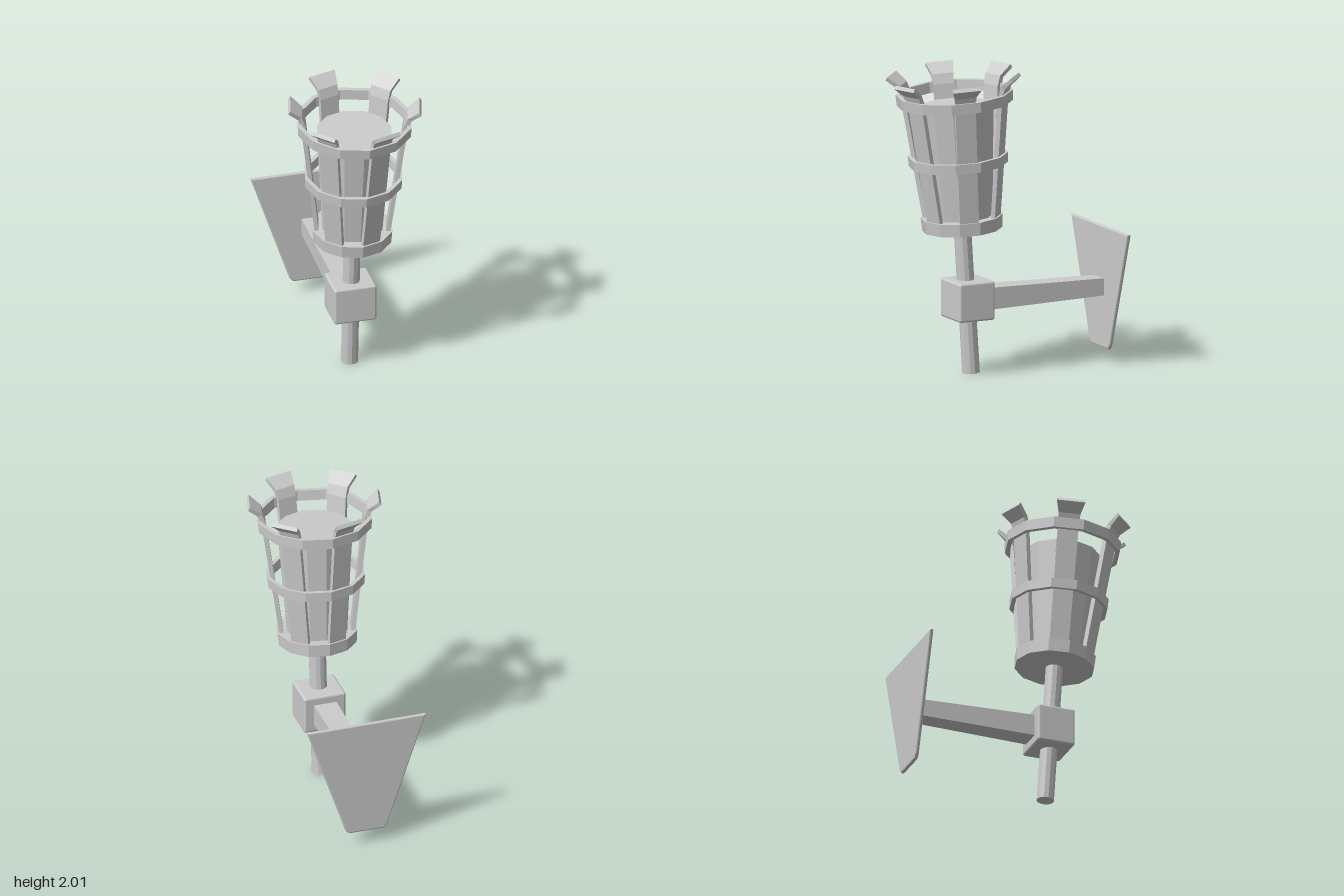
import * as THREE from 'three';
import { RoundedBoxGeometry } from 'three/addons/geometries/RoundedBoxGeometry.js';

const material = new THREE.MeshStandardMaterial({ color: 0xcccccc, flatShading: true });
const smooth = new THREE.MeshStandardMaterial({ color: 0xcccccc });

function add(parent, name, geometry, mat = material) {
  const mesh = new THREE.Mesh(geometry, mat);
  mesh.name = name;
  parent.add(mesh);
  return mesh;
}

// Twelve-sided hoop with a rectangular, slightly flared section
function hoopGeometry(y0, y1, r0, r1, t) {
  const profile = [[r0 - t, y0], [r0, y0], [r1, y1], [r1 - t, y1], [r0 - t, y0]];
  return new THREE.LatheGeometry(profile.map(([r, y]) => new THREE.Vector2(r, y)), 12);
}

// Slat rows from bottom to tip: outer radius, outer y, inner radius, inner y, width
const slatRows = [
  [0.245, 1.03, 0.217, 1.03, 0.125],
  [0.347, 1.84, 0.319, 1.85, 0.135],
  [0.368, 1.90, 0.342, 1.915, 0.142],
  [0.432, 1.957, 0.418, 1.979, 0.187],
];

function slatGeometry() {
  const n = slatRows.length - 1;
  const g = new THREE.BoxGeometry(1, 1, 1, 1, n, 1);
  const p = g.attributes.position;
  for (let i = 0; i < p.count; i++) {
    const [ro, yo, ri, yi, w] = slatRows[Math.round((p.getY(i) + 0.5) * n)];
    const outer = p.getZ(i) > 0;
    p.setXYZ(i, p.getX(i) * w, outer ? yo : yi, outer ? ro : ri);
  }
  g.computeVertexNormals();
  return g;
}

export function createModel() {
  const model = new THREE.Group();
  model.name = 'wallTorch';

  // Wall plate: bevelled trapezoid
  const b = 0.01;
  const shape = new THREE.Shape([
    [-0.115, 0.1], [0.115, 0.1], [0.135, 0.125], [0.392, 0.885], [-0.392, 0.885], [-0.135, 0.125],
  ].map(([x, y]) => new THREE.Vector2(x, y)));
  add(model, 'wallPlate', new THREE.ExtrudeGeometry(shape, {
    depth: 0.008, bevelThickness: 0.009, bevelSize: b, bevelSegments: 2,
  })).position.z = -0.751;

  // Tapered arm from plate to block
  const arm = new THREE.BoxGeometry(1, 1, 0.85);
  const p = arm.attributes.position;
  for (let i = 0; i < p.count; i++) {
    const front = p.getZ(i) > 0;
    p.setX(i, p.getX(i) * (front ? 0.155 : 0.13));
    p.setY(i, p.getY(i) * (front ? 0.145 : 0.113));
  }
  arm.computeVertexNormals();
  add(model, 'arm', arm).position.set(0, 0.493, -0.32);

  // Block that grips the shaft
  add(model, 'holderBlock', new RoundedBoxGeometry(0.285, 0.257, 0.257, 2, 0.016), smooth)
    .position.set(0, 0.493, 0.222);

  // Torch, leaning forward
  const torch = new THREE.Group();
  torch.name = 'torch';
  torch.position.set(0, 0.004, 0.197);
  torch.rotation.x = 0.066;
  model.add(torch);

  add(torch, 'shaft', new THREE.CylinderGeometry(0.057, 0.057, 0.98, 12)).position.y = 0.49;
  add(torch, 'basketBase', new THREE.CylinderGeometry(0.267, 0.261, 0.085, 12)).position.y = 1.0;
  add(torch, 'fuelCore', new THREE.CylinderGeometry(0.25, 0.2, 0.74, 12)).position.y = 1.4;
  add(torch, 'middleHoop', hoopGeometry(1.387, 1.452, 0.322, 0.326, 0.028));
  add(torch, 'upperHoop', hoopGeometry(1.795, 1.865, 0.377, 0.382, 0.03));

  // Six flared slats
  const slat = slatGeometry();
  for (let i = 0; i < 6; i++) {
    add(torch, 'slat', slat).rotation.y = Math.PI / 12 + i * Math.PI / 3;
  }
  return model;
}
